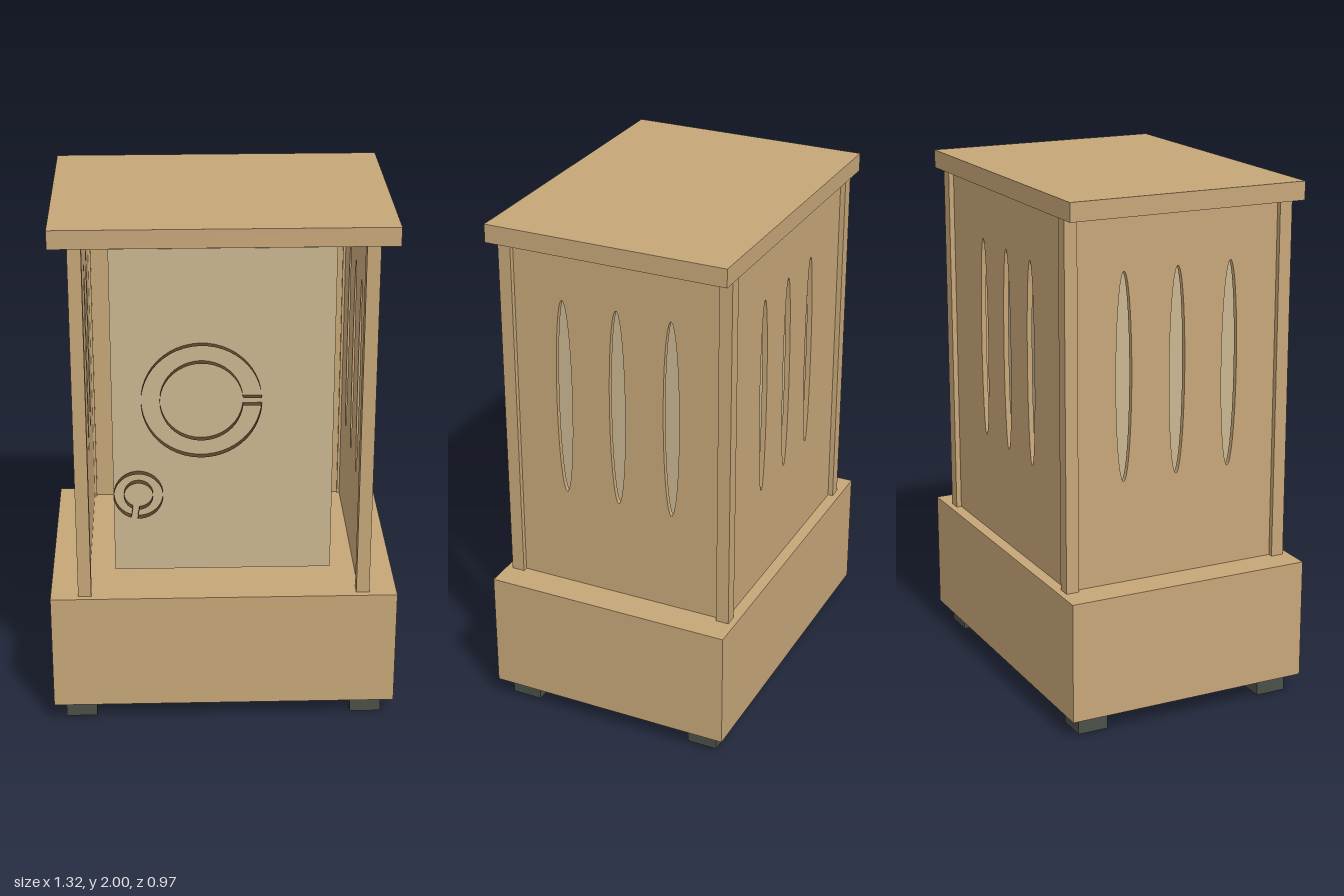
import * as THREE from 'three';

export function createModel() {
  const model = new THREE.Group();
  model.name = 'cabinet';

  const mat = (name, color, side = THREE.FrontSide) => {
    const m = new THREE.MeshStandardMaterial({ color, side });
    m.name = name;
    return m;
  };
  const wood = mat('wood', 0xc6a678);
  const cream = mat('cream', 0xc9b690);
  const rubber = mat('dark rubber', 0x4a4f47);
  const brown = mat('dark brown', 0x5a4228, THREE.DoubleSide);

  const add = (name, geometry, material, x, y, z, parent = model) => {
    const mesh = new THREE.Mesh(geometry, material);
    mesh.name = name;
    mesh.position.set(x, y, z);
    parent.add(mesh);
    return mesh;
  };
  const box = (name, w, y0, y1, d, material, x = 0, z = 0) =>
    add(name, new THREE.BoxGeometry(w, y1 - y0, d), material, x, (y0 + y1) / 2, z);

  // Plinth, lid and the inner housing
  box('base', 1.32, 0.075, 0.54, 0.97, wood);
  box('lid', 1.25, 1.93, 2, 0.94, wood);
  box('innerHousing', 0.83, 0.575, 1.875, 0.62, cream);

  // Feet and corner posts
  for (const sx of [-1, 1]) {
    for (const sz of [-1, 1]) {
      box('foot', 0.12, 0, 0.075, 0.12, rubber, sx * 0.555, sz * 0.383);
      box('cornerPost', 0.05, 0.54, 1.93, 0.05, wood, sx * 0.53, sz * 0.435);
    }
  }

  // Panel with three tall elliptical vents, standing on the plinth
  const ventedPanel = (width) => {
    const h = 1.39;
    const shape = new THREE.Shape([
      new THREE.Vector2(-width / 2, 0), new THREE.Vector2(width / 2, 0),
      new THREE.Vector2(width / 2, h), new THREE.Vector2(-width / 2, h),
    ]);
    for (const x of [-0.217, 0, 0.217]) {
      shape.holes.push(new THREE.Path().absellipse(x, 0.785, 0.032, 0.393, 0, Math.PI * 2, true));
    }
    return new THREE.ExtrudeGeometry(shape, { depth: 0.02, bevelEnabled: false, curveSegments: 32 });
  };
  const sideGeometry = ventedPanel(0.82);
  for (const s of [-1, 1]) {
    add(s > 0 ? 'leftPanel' : 'rightPanel', sideGeometry, wood, s * 0.515, 0.54, 0).rotation.y = s * Math.PI / 2;
  }
  add('backPanel', ventedPanel(1.01), wood, 0, 0.54, -0.42).rotation.y = Math.PI;

  // Open rings of thin upright strip on the front of the housing
  const openRing = (x, y, outer, inner, gap, turn) => {
    const ring = new THREE.Group();
    ring.name = 'openRing';
    ring.position.set(x, y, 0.325);
    ring.rotation.z = turn;
    model.add(ring);
    for (const r of [outer, inner]) {
      const a = Math.asin(gap / r);
      const wall = new THREE.CylinderGeometry(r, r, 0.03, 48, 1, true, Math.PI / 2 + a, Math.PI * 2 - 2 * a);
      add('ringWall', wall.rotateX(Math.PI / 2), brown, 0, 0, 0, ring);
    }
    for (const s of [-1, 1]) {
      const end = new THREE.PlaneGeometry(outer - inner, 0.03).rotateX(Math.PI / 2);
      add('ringEnd', end, brown, (outer + inner) / 2, s * gap, 0, ring);
    }
  };
  openRing(-0.08, 1.285, 0.225, 0.155, 0.015, 0);
  openRing(-0.32, 0.9, 0.093, 0.055, 0.012, -1.75);

  return model;
}
